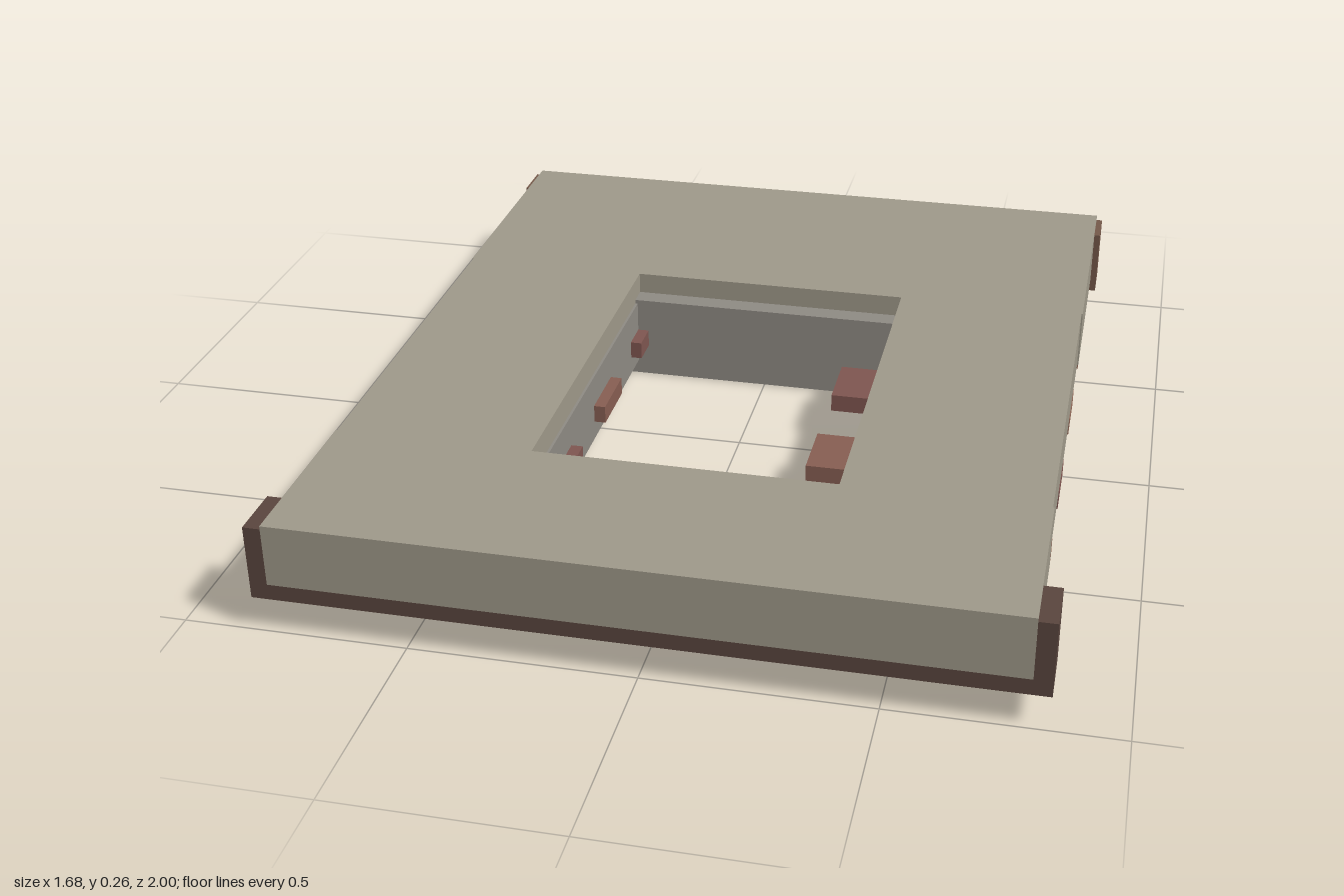
import * as THREE from 'three';

const mat = (color) => new THREE.MeshStandardMaterial({ color });

export function createModel() {
  const group = new THREE.Group();
  const plaster = mat(0x9f998a), stone = mat(0x8f8b84);
  const darkWood = mat(0x5a463e), wood = mat(0x75594a);
  const bricks = [mat(0x8f6655), mat(0x7f5650), mat(0x946c5b), mat(0x875e52)];

  // Box given by its minimum and maximum on each axis
  const box = (name, material, [x0, x1], [y0, y1], [z0, z1]) => {
    const mesh = new THREE.Mesh(new THREE.BoxGeometry(x1 - x0, y1 - y0, z1 - z0), material);
    mesh.position.set((x0 + x1) / 2, (y0 + y1) / 2, (z0 + z1) / 2);
    mesh.name = name;
    group.add(mesh);
  };

  // Wall panel lying flat, four slabs around the window opening
  const wallY = [0.118, 0.262];
  box('wallTop', plaster, [-0.8, 0.8], wallY, [0.583, 1]);
  box('wallBottom', plaster, [-0.8, 0.8], wallY, [-1, -0.365]);
  for (const s of [-1, 1]) {
    const span = (a, b) => (s > 0 ? [a, b] : [-b, -a]);
    box('wallSide', plaster, span(0.343, 0.797), wallY, [-0.365, 0.583]);
    // Window jambs
    box('windowJamb', stone, span(0.337, 0.41), [0.037, 0.2], [-0.33, 0.55]);
  }

  // Timber beams at both ends of the panel
  box('topBeam', darkWood, [-0.84, 0.84], [0.08, 0.253], [0.87, 0.998]);
  box('baseBeam', wood, [-0.815, 0.815], [0.085, 0.25], [-0.998, -0.89]);

  // Window lintel and sill
  box('windowLintel', darkWood, [-0.43, 0.43], [0.025, 0.19], [0.527, 0.64]);
  box('windowSill', stone, [-0.43, 0.43], [0, 0.21], [-0.405, -0.315]);

  // Brick courses in running bond, left out across the window
  const length = 0.32, pitchX = 0.339, depth = 0.155, pitchZ = 0.1757;
  for (let row = 0; row < 11; row++) {
    const z = 0.914 - row * pitchZ;
    const shifted = row % 2 === 1;
    const count = shifted ? 4 : 5;
    for (let i = 0; i < count; i++) {
      const x0 = -0.799 + (shifted ? pitchX / 2 : 0) + i * pitchX;
      const x1 = Math.min(x0 + length, 0.798);
      const mid = x0 + length / 2;
      if (Math.abs(mid) < 0.34 && z > -0.36 && z < 0.53) continue;
      box('brick', bricks[(row * 3 + i * 5 + ((row * i) % 3)) % 4],
        [x0, x1], [0.082, 0.125], [z - depth / 2, z + depth / 2]);
    }
  }
  return group;
}
